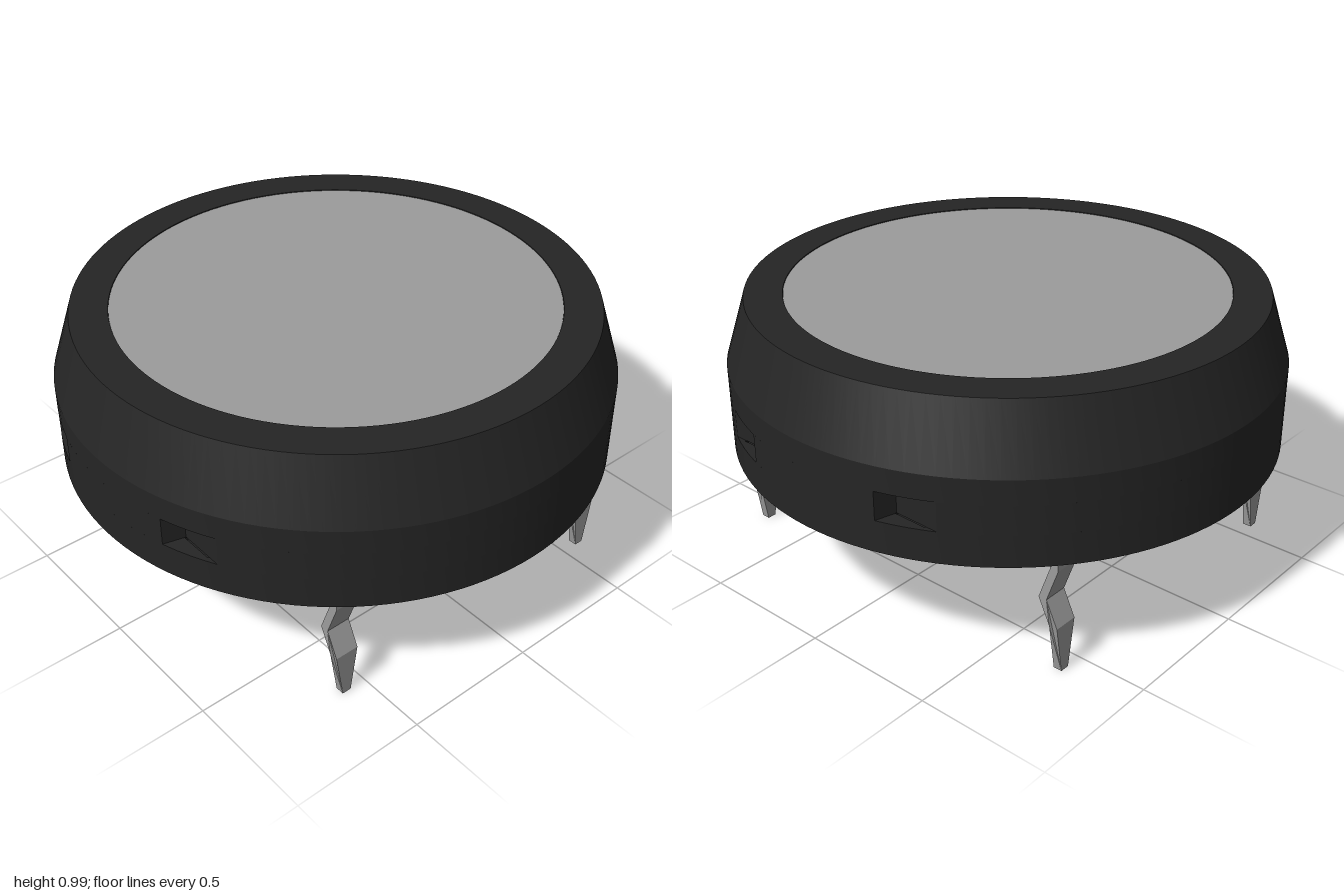
import * as THREE from 'three';
import { toCreasedNormals } from 'three/addons/utils/BufferGeometryUtils.js';

const black = new THREE.MeshStandardMaterial({ color: 0x252525 });
black.name = 'black plastic';
const silver = new THREE.MeshStandardMaterial({ color: 0x9c9c9c });
silver.name = 'silver metal';

const BOTTOM = 0.445, NOTCH_LOW = 0.56, NOTCH_HIGH = 0.665;
const SIGNS = [-1, 1];

function add(parent, name, geometry, material, x = 0, y = 0, z = 0) {
  const mesh = new THREE.Mesh(geometry, material);
  mesh.name = name;
  mesh.position.set(x, y, z);
  parent.add(mesh);
  return mesh;
}

// Points on the unit circle between two angles in degrees
function arc(from, to, steps) {
  return Array.from({ length: steps + 1 }, (_, i) => {
    const a = THREE.MathUtils.degToRad(from + ((to - from) * i) / steps);
    return [Math.cos(a), Math.sin(a)];
  });
}

// Closed outline from a first-quadrant contour running from the x axis to the y axis
function mirroredOutline(quarter) {
  const flipX = quarter.map(([x, y]) => [-x, y]).reverse();
  const half = [...quarter, ...flipX.slice(1)];
  const flipY = half.map(([x, y]) => [x, -y]).reverse();
  return [...half, ...flipY.slice(1, -1)].map(([x, y]) => new THREE.Vector2(x, y));
}

// Horizontal slab extruded upwards
function slab(shape, depth) {
  const g = new THREE.ExtrudeGeometry(shape, { depth, bevelEnabled: false });
  g.rotateX(-Math.PI / 2);
  return toCreasedNormals(g, 0.3);
}

function polygonPath(points) {
  return new THREE.Path(points.map(([x, y]) => new THREE.Vector2(x, y)));
}

function rectPath(x, y, w, h) {
  return polygonPath([[x - w / 2, y - h / 2], [x + w / 2, y - h / 2], [x + w / 2, y + h / 2], [x - w / 2, y + h / 2]]);
}

// Bent, tapered solder pin
function pinGeometry() {
  const path = [[0.725, 0.47], [0.725, 0.4], [0.68, 0.275], [0.725, 0.18], [0.725, 0]];
  const outline = [
    ...path.map(([z, y]) => new THREE.Vector2(z + 0.016, y)),
    ...path.map(([z, y]) => new THREE.Vector2(z - 0.016, y)).reverse(),
  ];
  const g = new THREE.ExtrudeGeometry(new THREE.Shape(outline), { depth: 0.09, bevelEnabled: false });
  g.translate(0, 0, -0.045);
  g.rotateY(-Math.PI / 2);
  const p = g.attributes.position;
  for (let i = 0; i < p.count; i++) if (p.getY(i) < 0.01) p.setX(i, p.getX(i) * 0.38);
  g.computeVertexNormals();
  return g;
}

export function createModel() {
  const model = new THREE.Group();
  model.name = 'roundComponent';

  // Base with slots and pin pockets opening downwards
  const base = new THREE.Shape(mirroredOutline(arc(0, 90, 32)));
  for (const s of SIGNS) {
    base.holes.push(rectPath(s * 0.91, 0, 0.045, 0.2), rectPath(0, s * 0.91, 0.2, 0.045));
    for (const t of SIGNS) {
      base.holes.push(rectPath(s * 0.88, t * 0.36, 0.015, 0.13));
      base.holes.push(polygonPath([[s * 0.53, t * 0.79], [s * 0.39, t * 0.75], [s * 0.53, t * 0.68]]));
    }
  }
  add(model, 'base', slab(base, NOTCH_LOW - BOTTOM), black, 0, BOTTOM);

  // Middle band with four latch notches
  const a0 = 16.26, a1 = 28.03;
  const notched = [...arc(0, a0, 6), [0.883, 0.3], ...arc(a1, 90, 22)];
  add(model, 'notchedBand', slab(new THREE.Shape(mirroredOutline(notched)), NOTCH_HIGH - NOTCH_LOW), black, 0, NOTCH_LOW);

  // Upper housing with chamfer and rim
  const profile = [[0, NOTCH_HIGH], [1, NOTCH_HIGH], [1, 0.755], [0.925, 0.99], [0.79, 0.99], [0.79, 0.97]]
    .map(([r, y]) => new THREE.Vector2(r, y));
  const housing = toCreasedNormals(new THREE.LatheGeometry(profile, 128).toNonIndexed(), 0.2);
  add(model, 'housing', housing, black);

  // Lens disc set in the rim
  add(model, 'topDisc', new THREE.CylinderGeometry(0.789, 0.789, 0.04, 128), silver, 0, 0.967);

  // Shallow plates on the underside
  add(model, 'centreRib', new THREE.BoxGeometry(0.08, 0.01, 1.2), black, 0, BOTTOM);
  for (const s of SIGNS) add(model, 'bottomPanel', new THREE.BoxGeometry(0.62, 0.01, 0.76), black, s * 0.51, BOTTOM);

  // Standoff feet and pins
  const foot = new THREE.CylinderGeometry(0.055, 0.055, 0.04, 32);
  const pin = pinGeometry();
  for (const s of SIGNS) {
    for (const t of SIGNS) {
      add(model, 'foot', foot, black, s * 0.655, 0.435, t * 0.572);
      const leg = add(model, 'pin', pin, silver, s * 0.58);
      leg.rotation.y = t > 0 ? 0 : Math.PI;
    }
  }
  return model;
}
